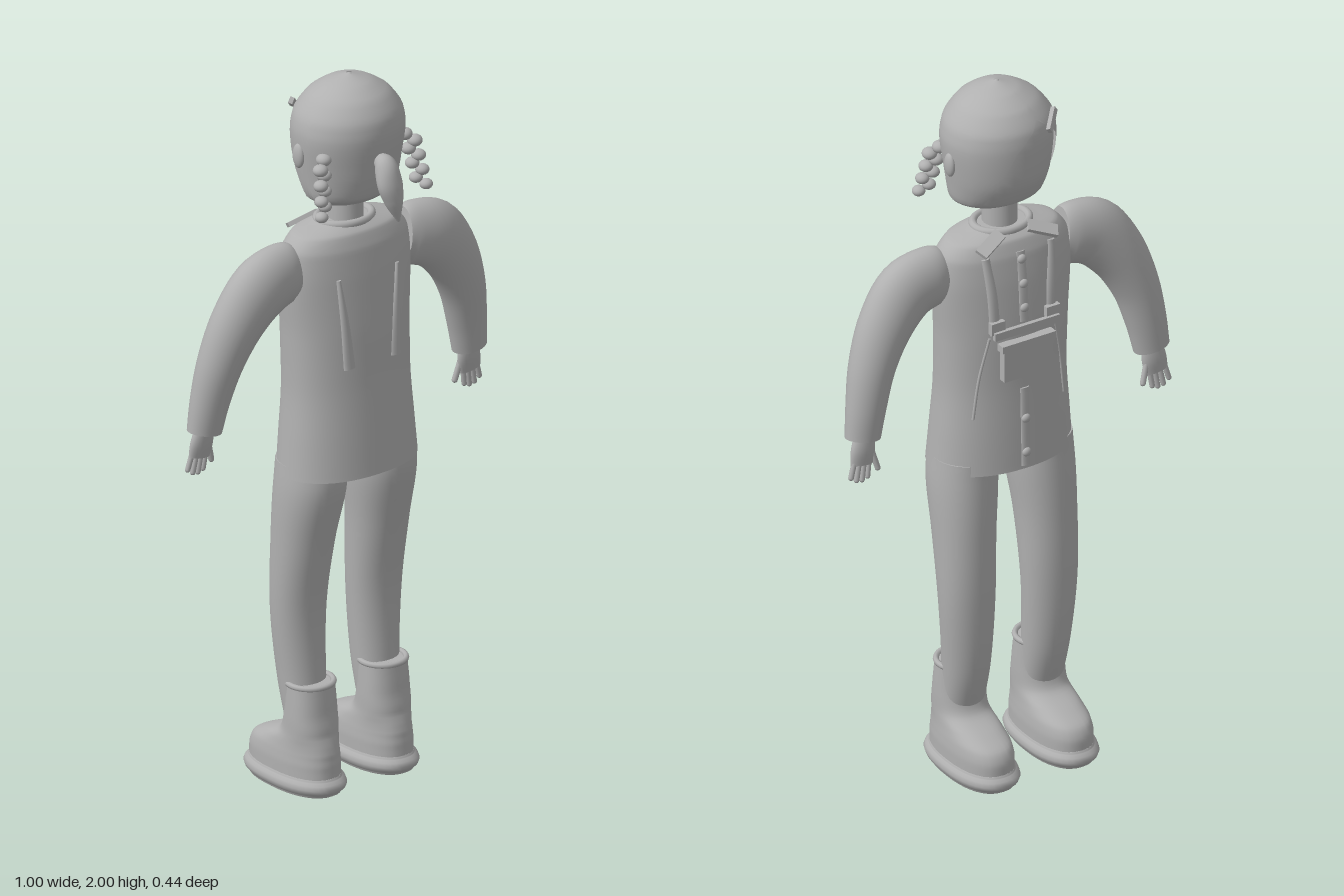
import * as THREE from 'three';

const V = (x, y, z) => new THREE.Vector3(x, y, z);

// Skin cross-sections [x, y, z, ra, rb]. With ref, rings follow the path and ra lies along ref;
// without it rings are horizontal (rows run upwards). start(angle) trims the lower edge.
function loft(rows, { ref = null, steps = 32, segs = 32, power = 1, start = null, caps = true } = {}) {
  const path = new THREE.CatmullRomCurve3(rows.map(r => V(r[0], r[1], r[2])));
  const radii = new THREE.CatmullRomCurve3(rows.map(r => V(r[3], r[4], 0)));
  const pos = [], idx = [];
  const bend = c => Math.sign(c) * Math.abs(c) ** power;
  const point = (t, a) => {
    const u = V(1, 0, 0), tan = ref ? path.getTangent(t) : V(0, 1, 0);
    if (ref) u.copy(ref).addScaledVector(tan, -ref.dot(tan)).normalize();
    const v = tan.clone().cross(u), r = radii.getPoint(t);
    return path.getPoint(t).addScaledVector(u, bend(Math.cos(a)) * r.x).addScaledVector(v, bend(Math.sin(a)) * r.y);
  };
  for (let i = 0; i <= steps; i++) for (let j = 0; j < segs; j++) {
    const a = j / segs * Math.PI * 2, t0 = start ? start(a) : 0;
    pos.push(...point(t0 + (1 - t0) * i / steps, a).toArray());
  }
  for (let i = 0; i < steps; i++) for (let j = 0; j < segs; j++) {
    const a = i * segs + j, b = i * segs + (j + 1) % segs;
    idx.push(a, b, a + segs, b, b + segs, a + segs);
  }
  if (caps) for (const end of [0, 1]) {
    const base = pos.length / 3;
    pos.push(...path.getPoint(end).toArray());
    for (let j = 0; j < segs; j++) pos.push(...point(end, j / segs * Math.PI * 2).toArray());
    for (let j = 0; j < segs; j++) {
      const a = base + 1 + j, b = base + 1 + (j + 1) % segs;
      idx.push(base, end ? a : b, end ? b : a);
    }
  }
  const g = new THREE.BufferGeometry();
  g.setAttribute('position', new THREE.Float32BufferAttribute(pos, 3));
  g.setIndex(idx);
  g.computeVertexNormals();
  return g;
}

export function createModel() {
  const grey = new THREE.MeshStandardMaterial({ color: 0xb0b0b0, side: THREE.DoubleSide });
  grey.name = 'plain grey';
  const model = new THREE.Group();
  const X = V(1, 0, 0), Z = V(0, 0, 1);

  const add = (name, geo, x = 0, y = 0, z = 0) => {
    const m = new THREE.Mesh(geo, grey);
    m.name = name;
    m.position.set(x, y, z);
    model.add(m);
    return m;
  };
  const ball = (name, x, y, z, r, sx = 1, sy = 1, sz = 1) => {
    const m = add(name, new THREE.SphereGeometry(r, 20, 14), x, y, z);
    m.scale.set(sx, sy, sz);
    return m;
  };
  const rod = (name, a, b, r) => {
    const d = b.clone().sub(a), mid = a.clone().add(b).multiplyScalar(0.5);
    const m = add(name, new THREE.CapsuleGeometry(r, d.length(), 5, 10), mid.x, mid.y, mid.z);
    m.quaternion.setFromUnitVectors(V(0, 1, 0), d.normalize());
    return m;
  };

  // Jacket
  const jacket = [
    [0, 0.9, 0.005, 0.205, 0.135], [0, 1.0, 0.003, 0.197, 0.13], [0, 1.15, 0, 0.187, 0.122],
    [0, 1.3, -0.004, 0.19, 0.119], [0, 1.45, -0.006, 0.2, 0.108], [0, 1.53, -0.006, 0.192, 0.098],
    [0, 1.57, -0.006, 0.16, 0.084], [0, 1.59, -0.006, 0.09, 0.06]];
  add('jacket', loft(jacket, { steps: 48, segs: 48, power: 0.9 }));
  // Depth of the jacket surface at x, y (side 1 is +z, -1 is -z)
  const depth = (x, y, side) => {
    let i = 0;
    while (i < jacket.length - 2 && jacket[i + 1][1] < y) i++;
    const [p, q] = [jacket[i], jacket[i + 1]], k = (y - p[1]) / (q[1] - p[1]);
    const [c, rx, rz] = [2, 3, 4].map(n => p[n] + (q[n] - p[n]) * k);
    const cos = (Math.abs(x) / rx) ** (1 / 0.9);
    return c + side * rz * Math.sqrt(Math.max(0, 1 - cos * cos)) ** 0.9;
  };
  const strip = (name, pts, side, thick) => add(name, loft(
    pts.map(([x, y, w]) => [x, y, depth(x, y, side), w, thick]), { ref: X, segs: 12, steps: 16 }));

  // Collar, neck and jacket front
  const collar = add('collar', new THREE.TorusGeometry(0.078, 0.012, 10, 40), 0, 1.588, -0.006);
  collar.rotation.x = Math.PI / 2;
  collar.scale.y = 0.8;
  add('neck', new THREE.CylinderGeometry(0.045, 0.048, 0.14, 28), 0, 1.63, 0);
  strip('upper placket', [[0, 1.34, 0.014], [0, 1.44, 0.014], [0, 1.54, 0.014]], -1, 0.005);
  strip('lower placket', [[0, 0.91, 0.014], [0, 1.02, 0.014], [0, 1.14, 0.014]], -1, 0.005);
  for (const y of [0.95, 1.05, 1.38, 1.45, 1.52])
    ball('button', 0, y, depth(0, y, -1) - 0.004, 0.013, 1, 1, 0.7);
  add('bib band', new THREE.BoxGeometry(0.2, 0.022, 0.012), 0, 1.325, -0.132);
  add('pocket', new THREE.BoxGeometry(0.15, 0.1, 0.022), 0, 1.235, -0.132);
  add('pocket flap', new THREE.BoxGeometry(0.165, 0.02, 0.026), 0, 1.285, -0.133);

  // Hair and head share one set of rings
  const skull = [
    [0, 1.66, 0.015, 0.105, 0.075], [0, 1.68, 0.013, 0.135, 0.103], [0, 1.75, 0.006, 0.147, 0.13],
    [0, 1.85, 0.009, 0.158, 0.141], [0, 1.9, 0.01, 0.149, 0.136], [0, 1.95, 0.012, 0.112, 0.105],
    [0, 1.982, 0.014, 0.062, 0.06], [0, 2.0, 0.015, 0.008, 0.008]];
  add('head', loft(skull.map(([x, y, z, a, b]) => [x, y - 0.004, z, Math.max(0.004, a - 0.007), Math.max(0.004, b - 0.007)])));
  const parting = 1.92;
  add('hair', loft(skull, {
    segs: 72, caps: false,
    start: a => 0.64 * Math.max(0, 1 - Math.abs(a - parting) / 1.35) ** 0.8,
  }));
  add('hair crown', new THREE.SphereGeometry(0.009, 16, 8), 0, 1.992, 0.015);
  add('ponytail', loft([
    [0, 1.795, 0.135, 0.016, 0.018], [0, 1.785, 0.163, 0.03, 0.03], [0, 1.74, 0.183, 0.037, 0.027],
    [0.008, 1.69, 0.19, 0.027, 0.022], [0.02, 1.632, 0.195, 0.004, 0.004]], { ref: X, segs: 20 }));
  const clip = add('hair clip', new THREE.BoxGeometry(0.07, 0.018, 0.012), -0.098, 1.905, -0.1);
  clip.rotation.set(0.35, 0.6, -0.75);

  for (const s of [-1, 1]) {
    // Ears and two-strand braids
    ball('ear', s * 0.156, 1.8, -0.003, 0.034, 0.35, 1, 0.6);
    for (let i = 0; i < 8; i++) {
      const k = i / 7, w = (i % 2 ? 1 : -1) * 0.01;
      ball('braid bead', s * (0.146 + 0.02 * k + w), 1.81 - 0.14 * k, 0.082 + 0.03 * k + w * 0.5,
        0.021 - 0.003 * k, 1, 0.8, 1);
    }

    // Straps, buckles, collar leaves and seams
    strip('back strap', [[s * 0.077, 1.21, 0.019], [s * 0.086, 1.34, 0.013], [s * 0.098, 1.46, 0.006]], 1, 0.008);
    strip('front strap', [[s * 0.085, 1.32, 0.016], [s * 0.09, 1.43, 0.015], [s * 0.1, 1.54, 0.012]], -1, 0.009);
    add('buckle', new THREE.BoxGeometry(0.042, 0.034, 0.016), s * 0.085, 1.345, depth(0.085, 1.345, -1) - 0.01);
    strip('front seam', [[s * 0.1, 1.31, 0.004], [s * 0.125, 1.19, 0.004], [s * 0.14, 1.07, 0.004]], -1, 0.004);
    const leaf = add('collar leaf', new THREE.BoxGeometry(0.085, 0.012, 0.035), s * 0.08, 1.575, -0.082);
    leaf.rotation.set(-0.5, s * 0.45, s * -0.15);

    // Sleeve
    add('sleeve', loft([
      [s * 0.185, 1.485, 0, 0.05, 0.078], [s * 0.215, 1.482, 0, 0.058, 0.088], [s * 0.285, 1.462, 0.002, 0.064, 0.092],
      [s * 0.355, 1.385, -0.006, 0.064, 0.08], [s * 0.405, 1.28, -0.018, 0.058, 0.066],
      [s * 0.432, 1.17, -0.03, 0.048, 0.057], [s * 0.446, 1.085, -0.036, 0.04, 0.051]], { ref: Z }));

    // Hand
    add('palm', loft([
      [s * 0.443, 1.1, -0.038, 0.018, 0.028], [s * 0.45, 1.05, -0.043, 0.018, 0.036],
      [s * 0.456, 1.012, -0.046, 0.013, 0.034]], { ref: Z, steps: 12, segs: 20 }));
    for (let i = 0; i < 4; i++)
      rod('finger', V(s * (0.434 + 0.015 * i), 1.015 + 0.003 * i, -0.047),
        V(s * (0.44 + 0.017 * i), [0.973, 0.967, 0.97, 0.982][i], -0.05), 0.0075);
    rod('thumb', V(s * 0.425, 1.045, -0.046), V(s * 0.41, 0.99, -0.052), 0.008);

    // Trouser leg
    add('trouser leg', loft([
      [s * 0.121, 0.17, -0.008, 0.058, 0.05], [s * 0.123, 0.3, -0.03, 0.065, 0.06],
      [s * 0.127, 0.5, -0.04, 0.077, 0.066], [s * 0.125, 0.7, -0.023, 0.084, 0.083],
      [s * 0.118, 0.86, -0.002, 0.091, 0.1], [s * 0.115, 0.93, 0, 0.088, 0.1]], { power: 0.95 }));

    // Boot with cuff, sole and studs
    const bx = s * 0.122;
    add('boot', loft([
      [bx, 0.045, -0.058, 0.08, 0.153], [bx, 0.08, -0.058, 0.08, 0.152], [bx, 0.11, -0.052, 0.077, 0.143],
      [bx, 0.135, -0.03, 0.073, 0.115], [bx, 0.165, 0, 0.07, 0.076], [bx, 0.22, 0.006, 0.069, 0.062],
      [bx, 0.3, 0.003, 0.065, 0.056]], { power: 0.85 }));
    const cuff = add('boot cuff', new THREE.TorusGeometry(0.062, 0.008, 8, 36), bx, 0.3, 0.003);
    cuff.rotation.x = Math.PI / 2;
    add('sole', loft([
      [bx, 0, -0.058, 0.08, 0.153], [bx, 0.008, -0.058, 0.083, 0.157],
      [bx, 0.042, -0.058, 0.083, 0.157], [bx, 0.05, -0.058, 0.08, 0.153]], { power: 0.85, steps: 10, segs: 40 }));
    for (let i = 0; i < 8; i++) {
      const a = (i + 0.5) * Math.PI / 4;
      ball('sole stud', bx + 0.074 * Math.cos(a), 0.02, -0.058 + 0.142 * Math.sin(a), 0.014);
    }
  }
  return model;
}
